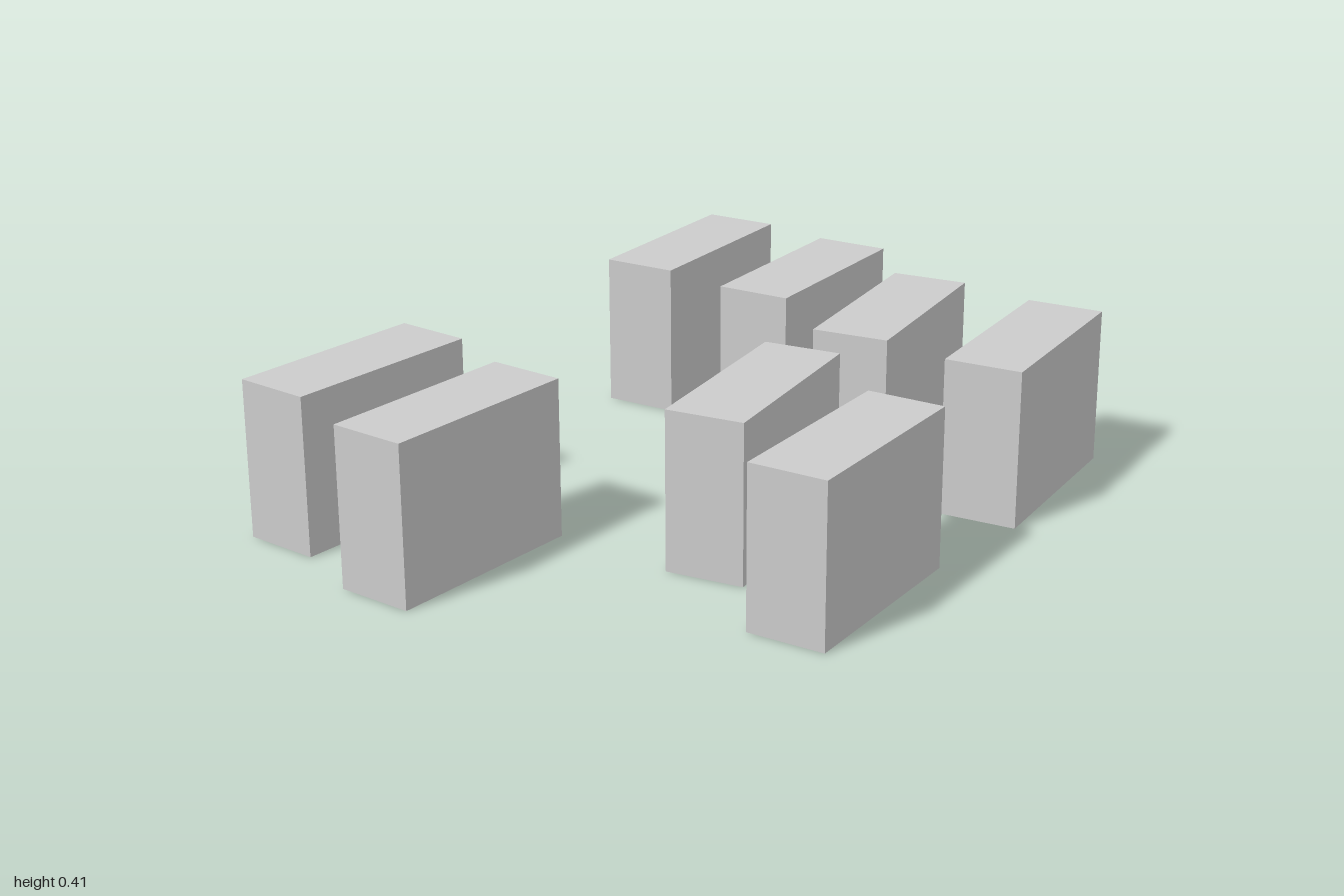
import * as THREE from 'three';

// Each block: centre x, centre z, turn about y (radians)
const BLOCKS = [
  [-0.503, -0.724, 0.005],
  [-0.103, -0.673, 0],
  [0.266, -0.491, 0.094],
  [0.671, -0.455, 0.048],
  [0.265, 0.209, 0.094],
  [0.63, 0.405, -0.01],
  [-0.66, 0.592, -0.108],
  [-0.274, 0.713, -0.092],
];
const WIDTH = 0.205, HEIGHT = 0.413, LENGTH = 0.552;

export function createModel() {
  const group = new THREE.Group();
  group.name = 'blocks';
  const material = new THREE.MeshStandardMaterial({ color: 0xcccccc });
  const geometry = new THREE.BoxGeometry(WIDTH, HEIGHT, LENGTH);

  // Upright rectangular blocks scattered on the ground
  BLOCKS.forEach(([x, z, turn], i) => {
    const block = new THREE.Mesh(geometry, material);
    block.name = `block${i + 1}`;
    block.position.set(x, HEIGHT / 2, z);
    block.rotation.y = turn;
    group.add(block);
  });
  return group;
}
